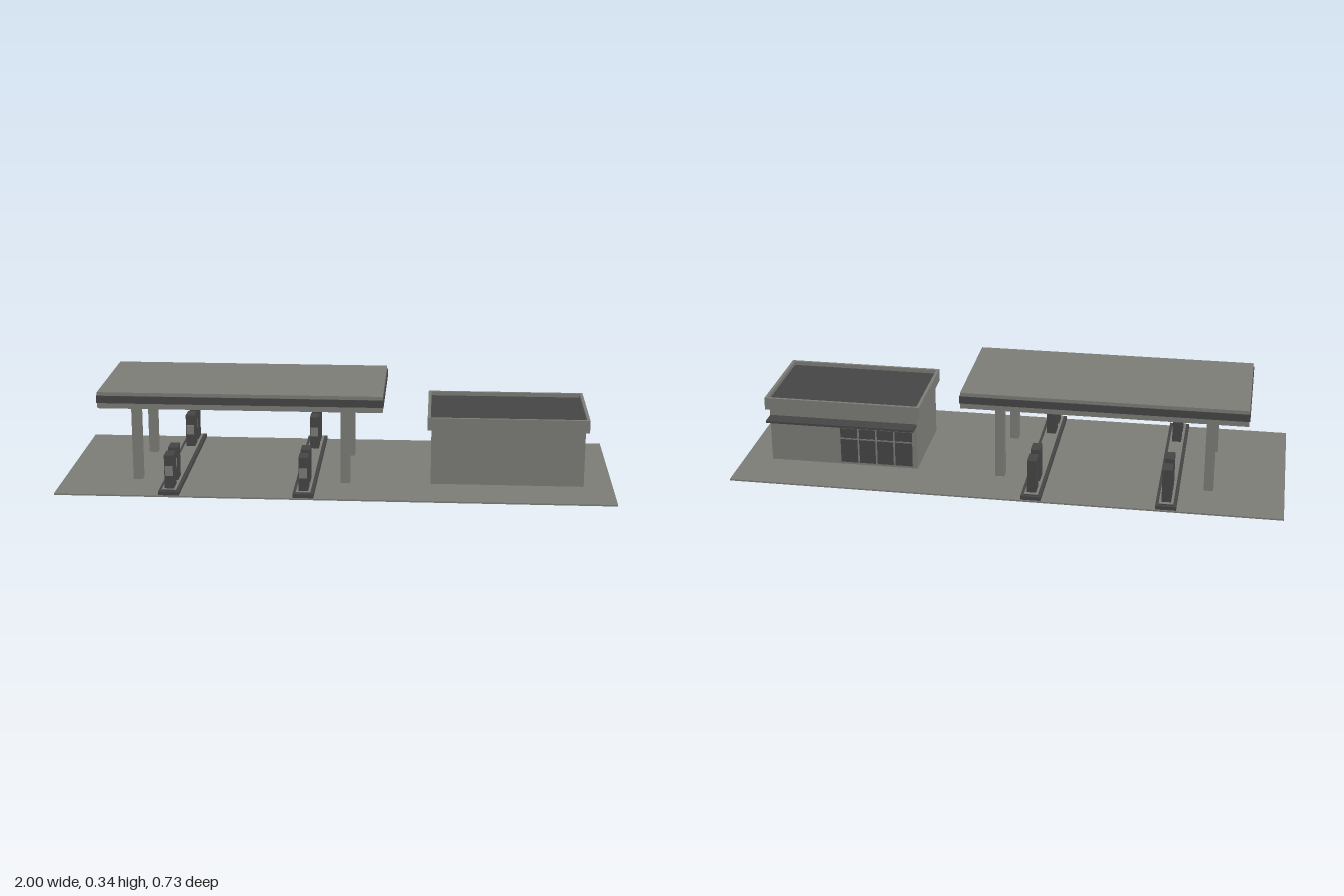
import * as THREE from 'three';

const concrete = new THREE.MeshStandardMaterial({ name: 'concrete grey', color: 0x7b7c76 });
const dark = new THREE.MeshStandardMaterial({ name: 'charcoal', color: 0x454545 });

// Box given by its lower and upper limits on each axis
function box(parent, name, mat, [x0, x1], [y0, y1], [z0, z1]) {
  const mesh = new THREE.Mesh(new THREE.BoxGeometry(x1 - x0, y1 - y0, z1 - z0), mat);
  mesh.position.set((x0 + x1) / 2, (y0 + y1) / 2, (z0 + z1) / 2);
  mesh.name = name;
  parent.add(mesh);
  return mesh;
}

// Rectangular ring of wall thickness t
function frame(parent, name, mat, [x0, x1], [y0, y1], [z0, z1], t) {
  const rect = (C, i) => {
    const s = new C();
    s.moveTo(x0 + i, -z1 + i);
    s.lineTo(x1 - i, -z1 + i);
    s.lineTo(x1 - i, -z0 - i);
    s.lineTo(x0 + i, -z0 - i);
    s.closePath();
    return s;
  };
  const shape = rect(THREE.Shape, 0);
  shape.holes.push(rect(THREE.Path, t));
  const geo = new THREE.ExtrudeGeometry(shape, { depth: y1 - y0, bevelEnabled: false });
  geo.rotateX(-Math.PI / 2);
  const mesh = new THREE.Mesh(geo, mat);
  mesh.position.y = y0;
  mesh.name = name;
  parent.add(mesh);
}

function makeCanopy() {
  const g = new THREE.Group();
  g.name = 'canopy';
  const X = [-0.86, 0.168], Z = [-0.224, 0.224];
  box(g, 'canopyRoof', concrete, X, [0.305, 0.345], Z);
  frame(g, 'canopyBand', dark, [-0.863, 0.171], [0.305, 0.332], [-0.227, 0.227], 0.01);
  frame(g, 'canopyLowerFascia', concrete, X, [0.285, 0.305], Z, 0.02);
  box(g, 'canopyCeiling', dark, [-0.841, 0.149], [0.296, 0.306], [-0.205, 0.205]);
  for (const x of [-0.728, 0.032])
    for (const z of [-0.167, 0.167])
      box(g, 'column', concrete, [x - 0.017, x + 0.017], [0, 0.3], [z - 0.017, z + 0.017]);
  return g;
}

function makeIsland(x) {
  const g = new THREE.Group();
  g.name = 'pumpIsland';
  box(g, 'curb', dark, [x - 0.037, x + 0.037], [0, 0.02], [-0.36, 0.36]);
  box(g, 'islandSlab', dark, [x - 0.027, x + 0.027], [0.019, 0.023], [-0.348, 0.348]);
  box(g, 'islandTop', concrete, [x - 0.026, x + 0.026], [0.022, 0.0237], [-0.347, 0.347]);
  for (const z of [-0.302, -0.208, 0.21, 0.304]) {
    box(g, 'pump', dark, [x - 0.017, x + 0.017], [0.02, 0.147], [z - 0.03, z + 0.03]);
    box(g, 'pumpPanel', concrete, [x - 0.014, x + 0.014], [0.072, 0.108], [z + 0.029, z + 0.034]);
  }
  return g;
}

function makeStore() {
  const g = new THREE.Group();
  g.name = 'store';
  box(g, 'storeWalls', concrete, [0.342, 0.895], [0.003, 0.214], [-0.171, 0.171]);
  // Parapet around a sunken dark roof
  const X = [0.328, 0.908], Z = [-0.188, 0.188];
  box(g, 'parapetBase', concrete, X, [0.213, 0.238], Z);
  frame(g, 'parapet', concrete, X, [0.238, 0.259], Z, 0.011);
  box(g, 'roofSurface', dark, [0.339, 0.897], [0.236, 0.244], [-0.177, 0.177]);
  // Awning over the back wall
  box(g, 'awning', dark, [0.342, 0.895], [0.177, 0.185], [-0.227, -0.17]);
  // Glazed shop front with thin bars
  box(g, 'shopWindow', dark, [0.36, 0.63], [0.015, 0.15], [-0.174, -0.17]);
  for (let i = 1; i < 4; i++) {
    const x = 0.36 + i * 0.0675;
    box(g, 'windowBar', concrete, [x - 0.003, x + 0.003], [0.015, 0.15], [-0.176, -0.17]);
  }
  box(g, 'windowRail', concrete, [0.36, 0.63], [0.108, 0.113], [-0.1755, -0.17]);
  return g;
}

export function createModel() {
  const model = new THREE.Group();
  model.name = 'fillingStation';
  box(model, 'forecourt', concrete, [-1, 1], [0.0006, 0.006], [-0.365, 0.365]);
  model.add(makeCanopy(), makeStore());
  for (const x of [-0.588, -0.108]) model.add(makeIsland(x));
  return model;
}
